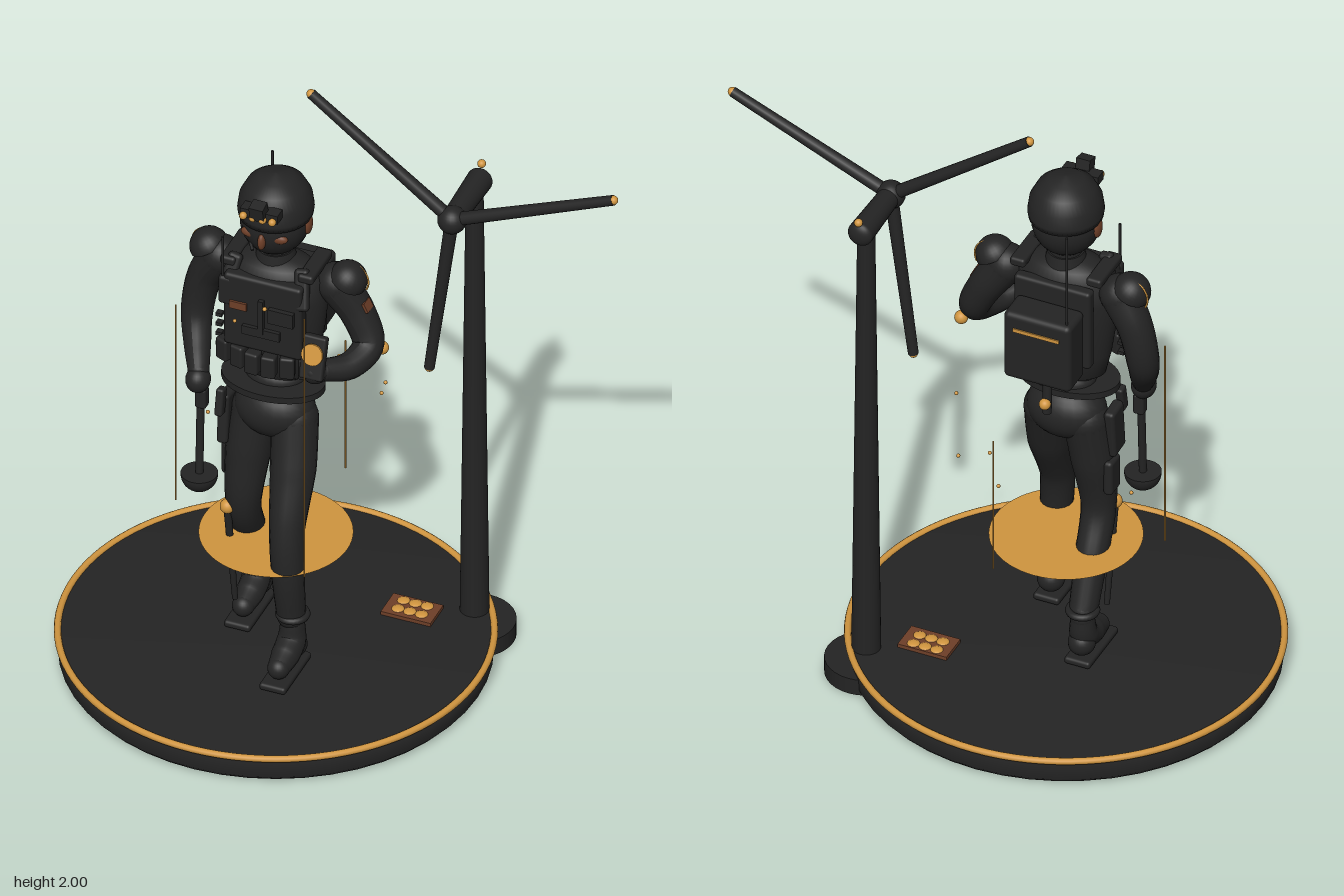
import * as THREE from 'three';
import { RoundedBoxGeometry } from 'three/addons/geometries/RoundedBoxGeometry.js';

const material = (name, color, side = THREE.FrontSide) => {
  const m = new THREE.MeshStandardMaterial({ color, side });
  m.name = name;
  return m;
};

export function createModel() {
  const dark = material('charcoal', 0x242424);
  const darkShell = material('charcoal shell', 0x242424, THREE.DoubleSide);
  const amber = material('amber', 0xd0953f);
  const amberSheet = material('amber sheet', 0xd0953f, THREE.DoubleSide);
  const brown = material('brown', 0x6e3f28);
  const root = new THREE.Group();
  root.name = 'fieldEngineer';
  const V = (a) => new THREE.Vector3(...a);

  const add = (name, geo, mat, pos = [0, 0, 0], rot = [0, 0, 0], scale = [1, 1, 1]) => {
    const mesh = new THREE.Mesh(geo, mat);
    mesh.name = name;
    mesh.position.set(...pos);
    mesh.rotation.set(...rot);
    mesh.scale.set(...scale);
    root.add(mesh);
    return mesh;
  };
  const box = (name, size, pos, mat = dark, rot) => add(name, new THREE.BoxGeometry(...size), mat, pos, rot);
  const soft = (name, size, pos, rot, r = 0.012) => add(name, new RoundedBoxGeometry(...size, 3, r), dark, pos, rot);
  const ball = (name, r, pos, mat = dark, scale) => add(name, new THREE.SphereGeometry(r, 24, 16), mat, pos, undefined, scale);
  // Straight round bar between two points
  const bar = (name, a, b, r0, r1 = r0, mat = dark, sides = 16) => {
    const p = V(a), q = V(b), d = q.clone().sub(p);
    const m = add(name, new THREE.CylinderGeometry(r1, r0, d.length(), sides), mat, p.clone().add(q).multiplyScalar(0.5).toArray());
    m.quaternion.setFromUnitVectors(new THREE.Vector3(0, 1, 0), d.normalize());
    return m;
  };
  // Smooth limb: each point is [x, y, z, radius]
  const limb = (name, pts) => {
    const curve = new THREE.CatmullRomCurve3(pts.map((p) => V(p.slice(0, 3))));
    const n = 28, sides = 18;
    const geo = new THREE.TubeGeometry(curve, n, 1, sides, false);
    const pos = geo.attributes.position, v = new THREE.Vector3();
    for (let i = 0; i <= n; i++) {
      const c = curve.getPointAt(i / n);
      const f = curve.getUtoTmapping(i / n) * (pts.length - 1);
      const k = Math.min(Math.floor(f), pts.length - 2);
      const r = THREE.MathUtils.lerp(pts[k][3], pts[k + 1][3], f - k);
      for (let j = 0; j <= sides; j++) {
        const id = i * (sides + 1) + j;
        v.fromBufferAttribute(pos, id).sub(c).multiplyScalar(r).add(c);
        pos.setXYZ(id, v.x, v.y, v.z);
      }
    }
    geo.computeVertexNormals();
    add(name, geo, dark);
    for (const p of [pts[0], pts[pts.length - 1]]) ball(name + 'End', p[3], p.slice(0, 3));
  };
  const lathe = (name, pts, pos, scale, mat = dark) =>
    add(name, new THREE.LatheGeometry(pts.map((p) => new THREE.Vector2(...p)), 48), mat, pos, undefined, scale);

  const cx = -0.19;

  // Display base
  lathe('base', [[0, 0.005], [0.635, 0.005], [0.648, 0.02], [0.65, 0.09], [0, 0.09]], [cx, 0, 0]);
  add('baseRing', new THREE.TorusGeometry(0.649, 0.011, 10, 96), amber, [cx, 0.089, 0], [Math.PI / 2, 0, 0]);
  add('lightDisc', new THREE.CircleGeometry(0.23, 64), amberSheet, [cx, 0.45, 0], [-Math.PI / 2, 0, 0]);
  box('lampTray', [0.16, 0.012, 0.1], [0.15, 0.096, -0.235], brown);
  for (let i = 0; i < 3; i++)
    for (const z of [-0.262, -0.218]) ball('trayLamp', 0.02, [0.112 + i * 0.038, 0.1, z], amber, [1, 0.4, 1]);

  // Wind turbine
  const tx = 0.316, tz = -0.32, hub = [tx, 1.645, -0.145];
  add('towerFoot', new THREE.CylinderGeometry(0.125, 0.125, 0.055, 32), dark, [tx, 0.0275, tz]);
  bar('tower', [tx, 0.05, tz], [tx, 1.63, tz], 0.045, 0.027, dark, 24);
  bar('nacelle', [tx, 1.645, -0.15], [tx, 1.645, -0.36], 0.034, 0.04, dark, 24);
  ball('nacelleTail', 0.04, [tx, 1.645, -0.36], dark, [1, 1, 0.6]);
  ball('rotorHub', 0.044, hub);
  ball('nacelleLamp', 0.013, [tx, 1.695, -0.375], amber);
  for (const [x, y] of [[0.835, 1.863], [-0.137, 1.982], [0.243, 1.08]]) {
    bar('blade', hub, [x, y, -0.145], 0.021, 0.016);
    ball('bladeTip', 0.014, [x, y, -0.145], amber);
  }

  // Torso, collar and belt
  lathe('torso', [[0, 1.045], [0.085, 1.05], [0.125, 1.08], [0.143, 1.16], [0.158, 1.26], [0.168, 1.36],
    [0.158, 1.43], [0.12, 1.465], [0.06, 1.485], [0, 1.485]], [cx, 0, 0.005], [1, 1, 0.6]);
  soft('chestPlate', [0.25, 0.26, 0.05], [cx, 1.315, 0.085]);
  soft('backPlate', [0.25, 0.28, 0.04], [cx, 1.3, -0.085]);
  add('collar', new THREE.CylinderGeometry(0.056, 0.068, 0.06, 28), dark, [cx, 1.475, 0]);
  add('belt', new THREE.CylinderGeometry(0.162, 0.162, 0.022, 40), dark, [cx, 1.03, 0.02], undefined, [1, 1, 0.66]);
  ball('waist', 0.1, [cx, 1.04, 0], dark, [0.95, 0.5, 0.75]);
  for (const s of [-1, 1]) {
    soft('shoulderStrap', [0.045, 0.13, 0.03], [cx + s * 0.115, 1.425, 0.075], [-0.4, 0, s * 0.15]);
    soft('shoulderBridge', [0.05, 0.03, 0.16], [cx + s * 0.125, 1.465, 0], undefined, 0.01);
  }
  for (let i = -2.5; i <= 2.5; i++)
    soft('beltPouch', [0.045, 0.075, 0.04], [cx + i * 0.052, 1.15, 0.125 - Math.abs(i) * 0.017], [0, i * 0.16, 0], 0.008);
  for (let i = 0; i < 4; i++) box('sideClip', [0.02, 0.012, 0.02], [-0.35, 1.14 + i * 0.035, 0.05]);
  box('chestPatch', [0.055, 0.026, 0.008], [-0.265, 1.34, 0.113], brown);
  box('chestPocket', [0.08, 0.05, 0.02], [-0.125, 1.335, 0.115]);
  box('chestStrap', [0.12, 0.03, 0.016], [cx, 1.262, 0.114]);
  box('chestTab', [0.016, 0.12, 0.02], [cx, 1.32, 0.113]);
  ball('chestLamp', 0.007, [cx + 0.015, 1.36, 0.125], amber);
  soft('radio', [0.045, 0.1, 0.035], [-0.31, 1.38, 0.095]);
  bar('radioAntenna', [-0.32, 1.38, 0.1], [-0.32, 1.57, 0.1], 0.004);

  // Backpack
  soft('backpack', [0.22, 0.24, 0.11], [cx, 1.26, -0.158], undefined, 0.018);
  box('packStripe', [0.15, 0.012, 0.008], [cx, 1.325, -0.213], amber);
  bar('packAntenna', [-0.28, 1.36, -0.19], [-0.28, 1.7, -0.19], 0.004);
  bar('packHose', [cx, 1.15, -0.13], [cx, 0.99, -0.135], 0.014);
  ball('packLamp', 0.018, [cx, 1.03, -0.15], amber);

  // Head and helmet
  add('neck', new THREE.CylinderGeometry(0.05, 0.052, 0.1, 24), dark, [cx, 1.51, 0]);
  ball('head', 0.106, [cx, 1.615, 0.005], dark, [1, 1.08, 1.03]);
  lathe('helmet', [[0, -0.02], [0.115, -0.02], [0.118, 0], [0.112, 0.042], [0.09, 0.083], [0.055, 0.109], [0, 0.12]],
    [cx, 1.655, 0], [0.97, 1, 1.02]);
  box('lampMount', [0.12, 0.03, 0.04], [cx, 1.705, 0.115]);
  box('visorHinge', [0.045, 0.05, 0.04], [cx, 1.725, 0.135], dark, [0.2, 0, 0]);
  for (let i = 0; i < 4; i++) ball('headLamp', 0.012, [cx - 0.047 + i * 0.031, 1.7, 0.142], amber);
  for (const s of [-1, 1]) {
    ball('ear', 0.03, [cx + s * 0.104, 1.615, 0], brown, [0.4, 1.15, 0.75]);
    ball('cheek', 0.03, [cx + s * 0.045, 1.605, 0.09], brown, [1, 0.55, 0.5]);
    bar('chinStrap', [cx + s * 0.1, 1.64, 0.03], [cx + s * 0.04, 1.53, 0.06], 0.006);
  }
  ball('nose', 0.02, [cx, 1.595, 0.112], brown, [0.6, 1.4, 0.8]);
  bar('microphoneBoom', [cx - 0.095, 1.6, 0.02], [cx - 0.03, 1.555, 0.11], 0.005);

  // Arms
  limb('rightArm', [[-0.375, 1.41, -0.02, 0.062], [-0.43, 1.31, -0.03, 0.054], [-0.452, 1.18, -0.02, 0.049],
    [-0.43, 1.09, 0.03, 0.041], [-0.41, 1.035, 0.07, 0.033]]);
  ball('rightHand', 0.042, [-0.405, 1.01, 0.085], dark, [0.9, 1, 1]);
  limb('leftArm', [[-0.005, 1.41, -0.02, 0.062], [0.06, 1.31, -0.03, 0.054], [0.102, 1.215, -0.01, 0.048],
    [0.075, 1.185, 0.07, 0.042], [0.02, 1.2, 0.14, 0.034]]);
  ball('leftHand', 0.042, [0.0, 1.205, 0.155]);
  ball('elbowLamp', 0.021, [0.13, 1.185, -0.05], amber);
  box('armPatch', [0.008, 0.032, 0.042], [0.096, 1.352, -0.02], brown, [0, 0, 0.45]);
  for (const s of [-1, 1]) {
    const pad = new THREE.SphereGeometry(0.06, 24, 10, 0, Math.PI * 2, 0, Math.PI / 2);
    add('shoulderPad', pad, darkShell, [cx + s * 0.222, 1.43, -0.02], [0, 0, -s * 0.5]);
    add('padTrim', new THREE.TorusGeometry(0.058, 0.003, 6, 20, Math.PI), amber, [cx + s * 0.225, 1.425, -0.035], [0, 0, -s * 0.5]);
  }

  // Hand-held gauge
  soft('gaugeBody', [0.075, 0.14, 0.03], [0, 1.26, 0.165], [-0.3, 0, 0], 0.008);
  add('gaugeFace', new THREE.CylinderGeometry(0.034, 0.034, 0.009, 28), amber, [0, 1.277, 0.178], [Math.PI / 2 - 0.3, 0, 0]);

  // Detector wand in the right hand
  bar('wandHandle', [-0.4, 1.0, 0.075], [-0.395, 0.68, 0.1], 0.012);
  soft('wandGrip', [0.035, 0.07, 0.035], [-0.395, 0.945, 0.08], undefined, 0.008);
  const bowl = new THREE.SphereGeometry(0.056, 28, 12, 0, Math.PI * 2, Math.PI / 2, Math.PI / 2);
  add('wandBowl', bowl, darkShell, [-0.395, 0.675, 0.1]);
  add('wandLid', new THREE.CylinderGeometry(0.056, 0.056, 0.008, 28), dark, [-0.395, 0.675, 0.1]);

  // Hips and striding legs
  ball('pelvis', 0.1, [cx, 0.92, 0.005], dark, [1.27, 0.96, 0.95]);
  limb('leftLeg', [[-0.125, 0.9, 0.01, 0.072], [-0.11, 0.75, 0.06, 0.07], [-0.1, 0.57, 0.132, 0.053],
    [-0.09, 0.42, 0.148, 0.05], [-0.083, 0.27, 0.14, 0.044]]);
  limb('rightLeg', [[-0.255, 0.9, 0, 0.072], [-0.27, 0.75, 0.02, 0.07], [-0.28, 0.56, 0.035, 0.053],
    [-0.287, 0.42, -0.03, 0.05], [-0.293, 0.27, -0.1, 0.044]]);
  for (const [x, z] of [[-0.078, 0.14], [-0.295, -0.11]]) {
    add('ankleCuff', new THREE.TorusGeometry(0.042, 0.011, 8, 28), dark, [x, 0.275, z], [Math.PI / 2, 0, 0]);
    limb('boot', [[x, 0.25, z, 0.036], [x, 0.185, z + 0.01, 0.044], [x, 0.16, z + 0.06, 0.043], [x, 0.148, z + 0.11, 0.034]]);
    ball('bootHeel', 0.042, [x, 0.16, z - 0.005]);
    soft('bootSole', [0.085, 0.024, 0.21], [x, 0.104, z + 0.06], undefined, 0.01);
  }

  // Thigh holster, knee lamp and scabbard
  soft('holster', [0.035, 0.17, 0.08], [-0.335, 0.865, 0.03], [-0.1, 0, 0]);
  soft('holsterGrip', [0.025, 0.09, 0.035], [-0.335, 0.945, 0.08], [-0.2, 0, 0], 0.008);
  soft('thighPouch', [0.03, 0.12, 0.07], [-0.335, 0.71, 0.01]);
  ball('kneeLamp', 0.023, [-0.315, 0.56, 0.075], amber);
  bar('scabbard', [-0.315, 0.55, 0.075], [-0.305, 0.2, 0.04], 0.012, 0.009);

  // Upright light beams and drifting sparks
  for (const [x, z, top] of [[0, 0.24, 1.45], [-0.5, 0.03, 1.22], [-0.095, -0.31, 0.97]])
    bar('lightBeam', [x, 0.5, z], [x, top, z], 0.0025, 0.0025, amber, 6);
  for (const p of [[0.1, 0.98, -0.15], [0.04, 0.845, -0.265], [-0.14, 0.86, -0.37], [-0.07, 0.9, -0.28],
    [-0.24, 1.35, 0.2], [-0.45, 0.75, -0.1]]) ball('spark', 0.006, p, amber);

  return root;
}
